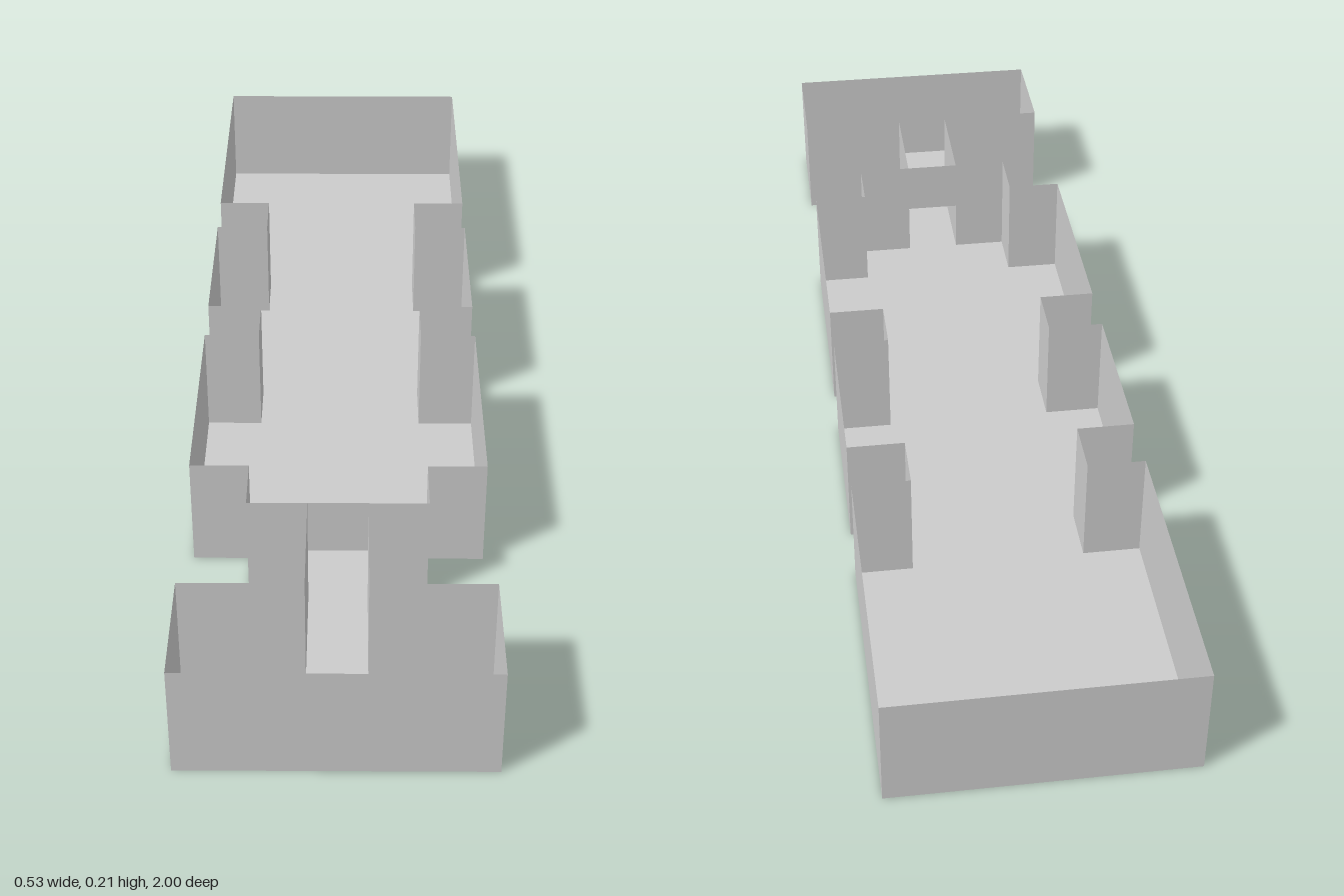
import * as THREE from 'three';

const U = 2 / 19;      // grid module: the plan is 19 modules long
const H = 2 * U;       // wall height
const DOOR_H = U;      // doorway height

const material = new THREE.MeshStandardMaterial({ color: 0xcccccc, side: THREE.DoubleSide, flatShading: true });

// Half outline of the plan in modules [x, z], from back to front
const half = [
  [2.5, -9.5], [2.5, -4.5], [1.5, -4.5], [1.5, -3.5], [2.5, -3.5],
  [2.5, -0.5], [1.5, -0.5], [1.5, 0.5], [2.5, 0.5], [2.5, 4.5],
  [1.5, 4.5], [1.5, 5.5], [0.5, 5.5], [0.5, 7.5], [2.5, 7.5], [2.5, 9.5],
];

// Upright thin panel between two plan points
function wall(name, [x0, z0], [x1, z1], bottom = 0, top = H) {
  const dx = (x1 - x0) * U, dz = (z1 - z0) * U;
  const mesh = new THREE.Mesh(new THREE.PlaneGeometry(Math.hypot(dx, dz), top - bottom), material);
  mesh.position.set((x0 + x1) * U / 2, (bottom + top) / 2, (z0 + z1) * U / 2);
  mesh.rotation.y = Math.atan2(-dz, dx);
  mesh.name = name;
  return mesh;
}

export function createModel() {
  const group = new THREE.Group();
  group.name = 'roomsAndCorridor';

  // Closed plan: left half, then its mirror from front to back
  const mirrored = half.map(([x, z]) => [-x, z]).reverse();
  const outline = [...half, ...mirrored];

  // Floor
  const shape = new THREE.Shape(outline.map(([x, z]) => new THREE.Vector2(x * U, z * U)));
  const floor = new THREE.Mesh(new THREE.ShapeGeometry(shape).rotateX(Math.PI / 2), material);
  floor.name = 'floor';
  group.add(floor);

  // Outer walls along the whole outline
  const walls = new THREE.Group();
  walls.name = 'walls';
  outline.forEach((p, i) => walls.add(wall('wall', p, outline[(i + 1) % outline.length])));
  group.add(walls);

  // Lintel above the doorway into the corridor
  group.add(wall('doorLintel', [-0.5, 5.5], [0.5, 5.5], DOOR_H, H));

  return group;
}
